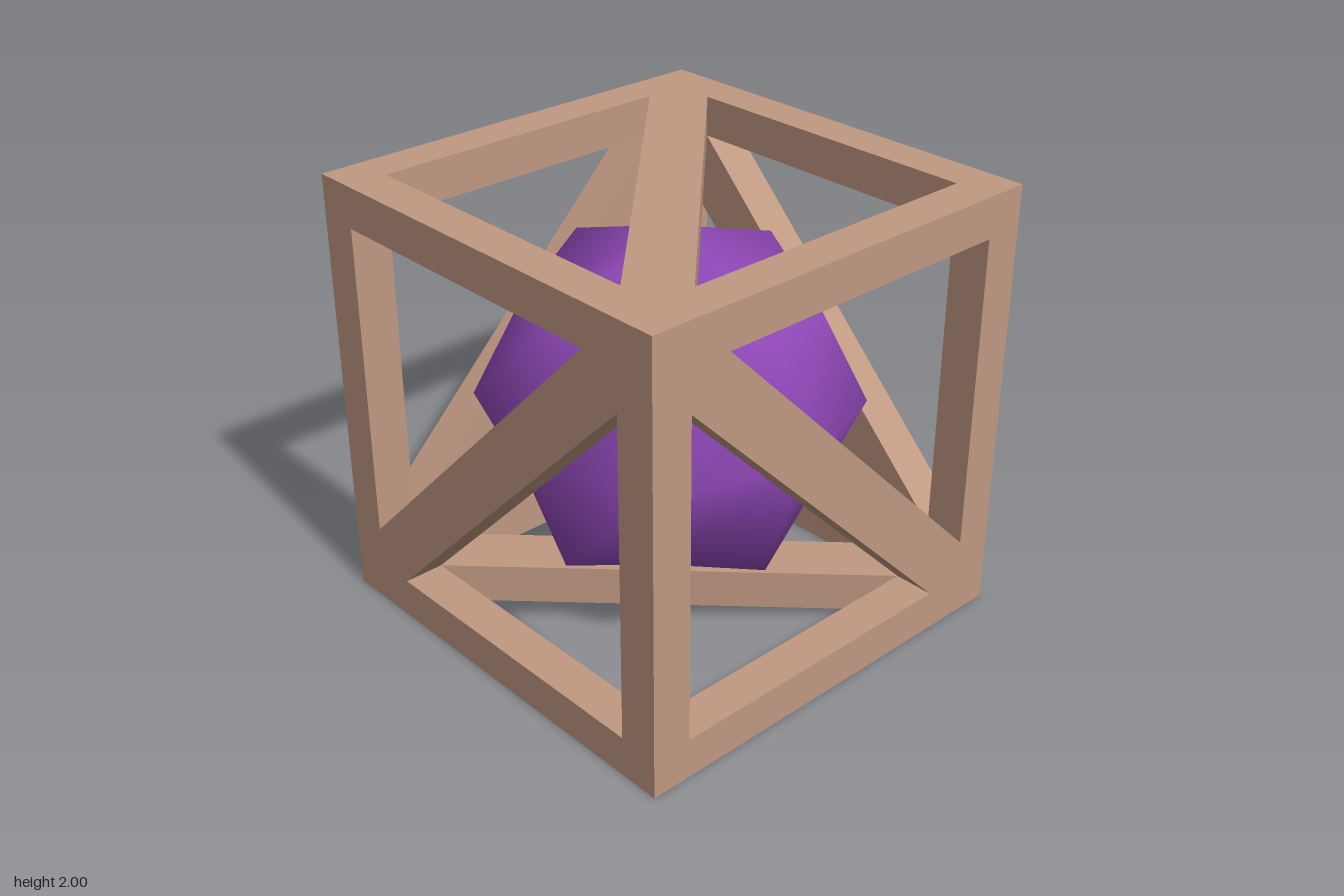
import * as THREE from 'three';
import { mergeVertices } from 'three/addons/utils/BufferGeometryUtils.js';

const T = 0.185;          // beam thickness
const INNER = 1 - T;      // half-width of each opening
const DIAGONAL = new THREE.Vector3(1, 1, 1).normalize();

export function createModel() {
  const model = new THREE.Group();
  const wood = new THREE.MeshStandardMaterial({ color: 0xc09882 });
  const purple = new THREE.MeshStandardMaterial({ color: 0x9048b8 });

  const body = new THREE.Group();
  body.name = 'cagedBall';
  body.position.y = 1;
  model.add(body);

  // Twelve edge beams: full-height posts with rails fitted between them
  const post = new THREE.BoxGeometry(T, 2, T);
  const railX = new THREE.BoxGeometry(2 * INNER, T, T);
  const railZ = new THREE.BoxGeometry(T, T, 2 * INNER);
  const c = 1 - T / 2;
  const addBeam = (name, geometry, x, y, z) => {
    const mesh = new THREE.Mesh(geometry, wood);
    mesh.name = name;
    mesh.position.set(x, y, z);
    body.add(mesh);
  };
  for (const a of [-c, c]) {
    for (const b of [-c, c]) {
      addBeam('cornerPost', post, a, 0, b);
      addBeam('crossRail', railX, 0, a, b);
      addBeam('sideRail', railZ, a, b, 0);
    }
  }

  // Diagonal brace for the front face, ends cut to fit into the corners
  const k = INNER, m = INNER - T;
  const outline = new THREE.Shape(
    [[-k, -k], [-m, -k], [k, m], [k, k], [m, k], [-k, -m]].map(([x, y]) => new THREE.Vector2(x, y))
  );
  const brace = new THREE.ExtrudeGeometry(outline, { depth: T, bevelEnabled: false });
  brace.translate(0, 0, INNER);

  // Turned onto all six faces, the braces trace a tetrahedron
  for (let turn = 0; turn < 3; turn++) {
    const spin = new THREE.Quaternion().setFromAxisAngle(DIAGONAL, (turn * Math.PI * 2) / 3);
    for (const flip of [0, Math.PI]) {
      const mesh = new THREE.Mesh(brace, wood);
      mesh.name = 'diagonalBrace';
      mesh.quaternion.setFromAxisAngle(new THREE.Vector3(0, 1, 0), flip).premultiply(spin);
      body.add(mesh);
    }
  }

  // Ball: a cube subdivided once, its edges and corners drawn inward
  let ballGeometry = new THREE.BoxGeometry(1.6, 1.6, 1.6, 2, 2, 2);
  const p = ballGeometry.attributes.position;
  const pull = [1, 1, 3 / 4, 5 / 9];   // by number of non-zero coordinates
  const v = new THREE.Vector3();
  for (let i = 0; i < p.count; i++) {
    v.fromBufferAttribute(p, i);
    const n = v.toArray().filter((q) => Math.abs(q) > 0.01).length;
    v.multiplyScalar(pull[n]);
    p.setXYZ(i, v.x, v.y, v.z);
  }
  ballGeometry.deleteAttribute('uv');
  ballGeometry.deleteAttribute('normal');
  ballGeometry = mergeVertices(ballGeometry, 1e-4);
  ballGeometry.computeVertexNormals();
  const ball = new THREE.Mesh(ballGeometry, purple);
  ball.name = 'ball';
  body.add(ball);

  return model;
}
